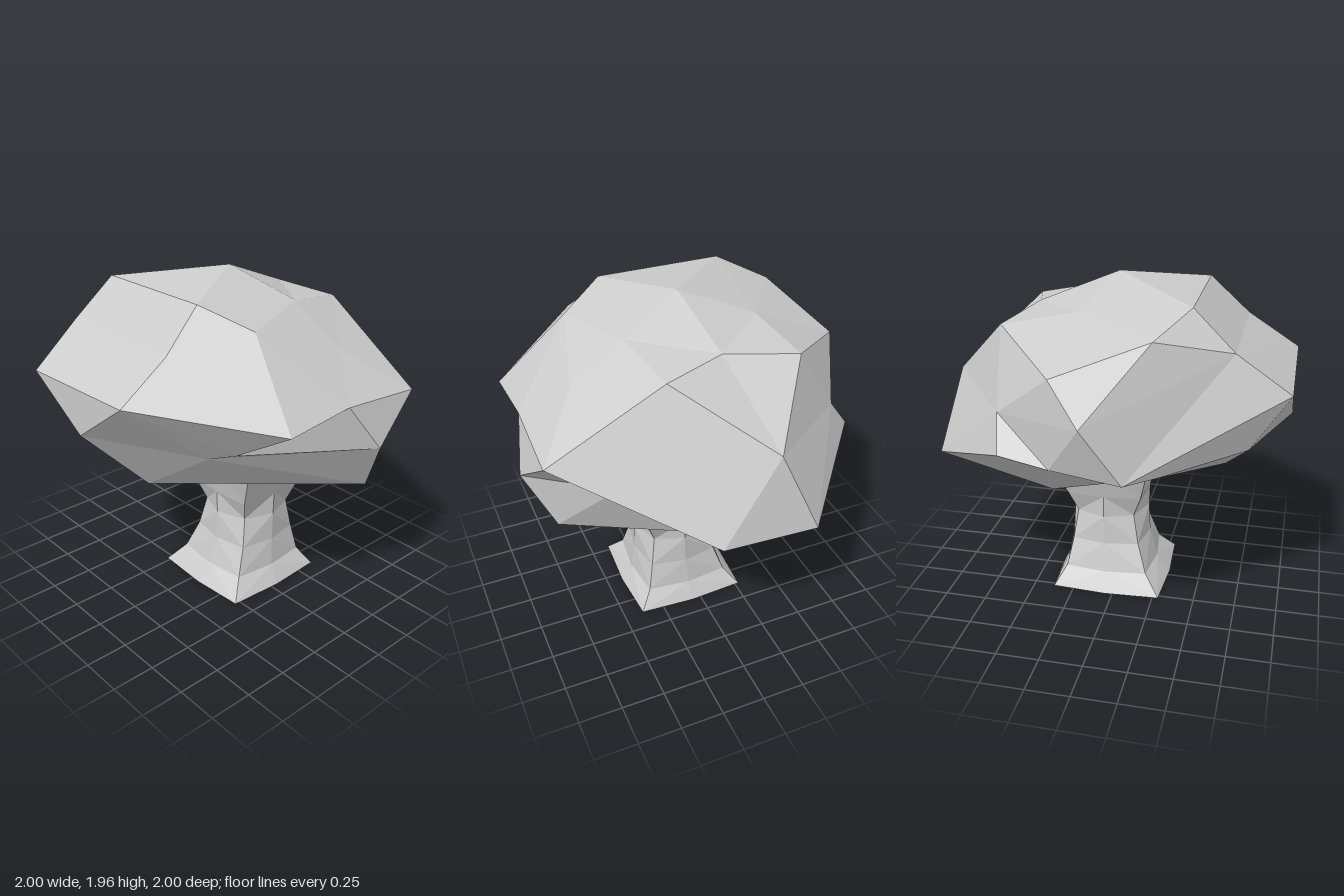
import * as THREE from 'three';

// Zips an upper and a lower loop (both counter-clockwise from above) into triangles.
// Each letter says which loop steps forward: U = upper, L = lower.
// Where the loops share a point no triangle is needed.
function band(out, upper, lower, steps) {
  let i = 0, j = 0;
  for (const s of steps) {
    const u = upper[i % upper.length], l = lower[j % lower.length];
    const next = s === 'U' ? upper[++i % upper.length] : lower[++j % lower.length];
    if (new Set([u, l, next]).size === 3) out.push(...u, ...l, ...next);
  }
}

function facetedMesh(name, positions) {
  const geometry = new THREE.BufferGeometry();
  geometry.setAttribute('position', new THREE.Float32BufferAttribute(positions, 3));
  geometry.computeVertexNormals();
  const material = new THREE.MeshStandardMaterial({ color: 0xcccccc, flatShading: true });
  const mesh = new THREE.Mesh(geometry, material);
  mesh.name = name;
  return mesh;
}

// Irregular faceted crown: loops from the peak down to the underside
function createCanopy() {
  const peak = [[0.01, 1.955, 0]];
  const corner = [0.46, 1.775, -0.06]; // shared by crown and shoulder
  const crown = [
    [-0.47, 1.885, 0.29], [0.16, 1.8, 0.37], corner, [0.16, 1.81, -0.4], [-0.47, 1.885, -0.46],
  ];
  const shoulder = [
    [-0.7, 1.67, 0.32], [-0.31, 1.77, 0.55], [0.18, 1.6, 0.68], [0.56, 1.735, 0.29], corner,
    [0.56, 1.74, -0.47], [0.18, 1.6, -0.89], [-0.31, 1.77, -0.72], [-0.7, 1.67, -0.5],
  ];
  const rim = [
    [-1, 1.475, 0.335], [-0.43, 1.355, 0.94], [0, 1.39, 0.93], [0.51, 1.355, 0.94],
    [0.91, 1.385, -0.2], [0.51, 1.34, -0.73], [0, 1.39, -1], [-0.2, 1.07, -0.92],
    [-1, 1.45, -0.46],
  ];
  const skirt = [
    [-1, 1.2, -0.05], [-0.56, 1.11, 0.47], [-0.5, 1.165, 0.62], [0.19, 1.12, 1],
    [0.58, 1.17, 0.57], [1, 0.95, 0.16], [1, 0.92, -0.4], [0.47, 1.155, -0.87],
    [0.19, 1.11, -0.89], [-0.36, 1.08, -0.8], [-0.79, 1.14, -0.49],
  ];
  const underside = [[-0.63, 0.81, 0.03], [0.29, 0.8, 0.84], [0.67, 0.75, 0], [0.29, 0.8, -0.5]];
  const centre = [[-0.2, 0.775, -0.1]];

  const out = [];
  band(out, peak, crown, 'LLLLL');
  band(out, crown, shoulder, 'LULLULLULLULLU');
  band(out, shoulder, rim, 'LULULULUULULUULLLU');
  band(out, rim, skirt, 'LLUULULLULULLUULLULU');
  // Small ledge at the front, which the lower skirt passes beneath
  const [, inner, ledge, front] = skirt;
  band(out, [ledge, front], [inner], 'U');
  band(out, skirt.filter((p) => p !== ledge), underside, 'ULUULUULUUULUU');
  band(out, underside, centre, 'UUUU');
  return facetedMesh('canopy', out);
}

// Eight-sided trunk: pinched at the corners, flaring at the foot and under the canopy
function createTrunk() {
  // height, corner half-width, side half-width, centre x, centre z
  const sections = [
    [0.86, 0.32, 0.33, 0.11, 0.09],
    [0.6, 0.225, 0.245, 0.08, 0.08],
    [0.46, 0.175, 0.24, 0.08, 0.08],
    [0.28, 0.205, 0.245, 0.075, 0.075],
    [0.11, 0.25, 0.28, 0.06, 0.06],
    [0, 0.33, 0.35, 0.045, 0.055],
  ];
  const loops = sections.map(([y, corner, side, cx, cz]) =>
    Array.from({ length: 8 }, (_, k) => {
      const a = (k * Math.PI) / 4;
      const r = k % 2 ? corner * Math.SQRT2 : side;
      return [cx + r * Math.sin(a), y, cz + r * Math.cos(a)];
    }));

  const out = [];
  for (let k = 0; k < loops.length - 1; k++) band(out, loops[k], loops[k + 1], 'LUUL'.repeat(4));
  band(out, loops[loops.length - 1], [[0.045, 0, 0.055]], 'U'.repeat(8));
  return facetedMesh('trunk', out);
}

export function createModel() {
  const tree = new THREE.Group();
  tree.name = 'tree';
  tree.add(createTrunk(), createCanopy());
  return tree;
}
